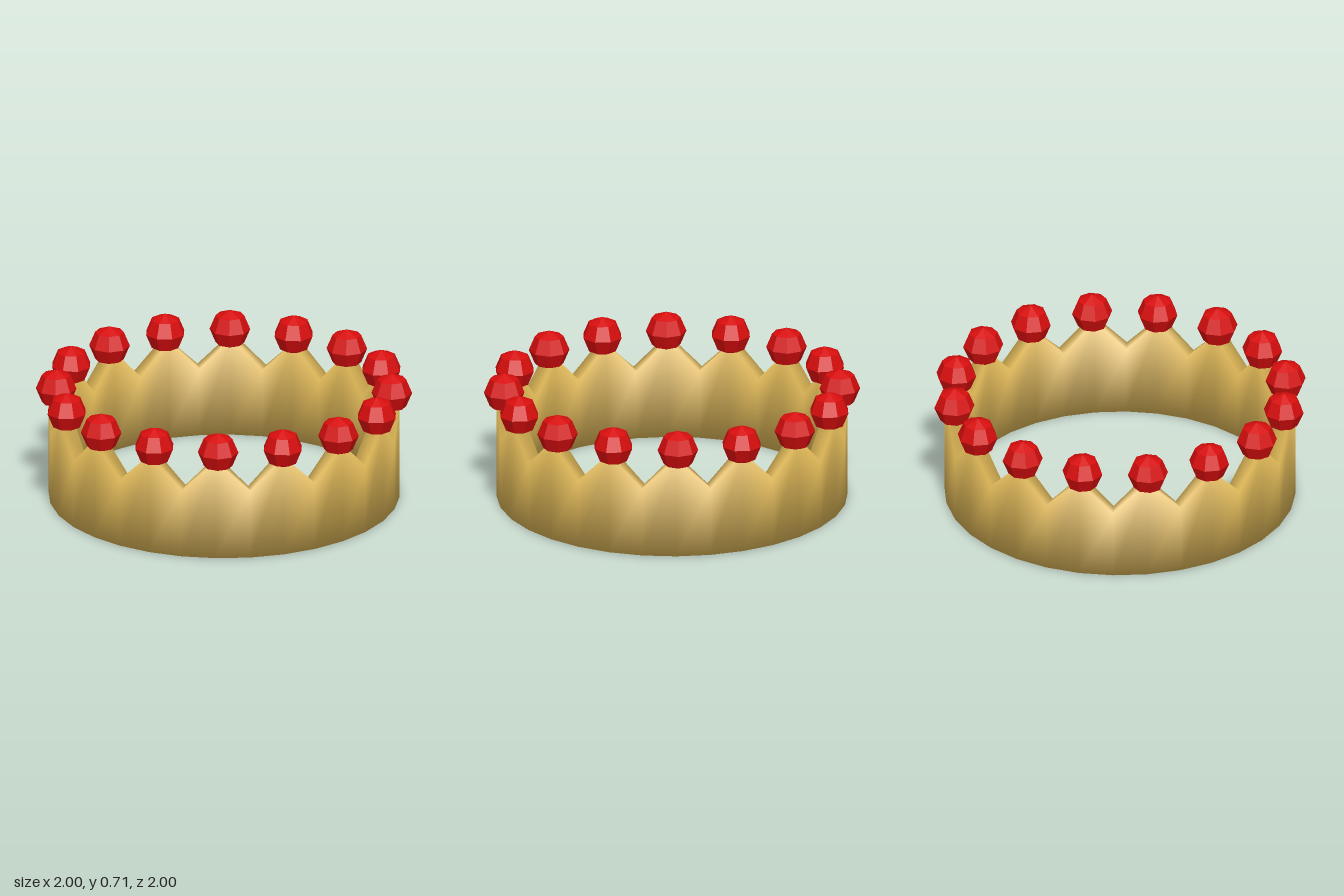
import * as THREE from 'three';

const TEETH = 16;
const OUTER = 0.95, INNER = 0.87;
const VALLEY = 0.385, PEAK = 0.565;

// Toothed ring: a four-cornered section swept round, its top alternating valley and peak
function bandGeometry() {
  const segments = TEETH * 2;
  const positions = [], normals = [], index = [];
  for (let i = 0; i <= segments; i++) {
    const a = (i / segments) * Math.PI * 2;
    const top = i % 2 ? PEAK : VALLEY;
    const section = [[OUTER, 0, 1, -1], [OUTER, top, 1, 1], [INNER, top, -1, 1], [INNER, 0, -1, -1]];
    for (const [r, y, nr, ny] of section) {
      positions.push(r * Math.sin(a), y, r * Math.cos(a));
      // corner normals blended for a softly rounded rim
      normals.push(nr * Math.sin(a) * Math.SQRT1_2, ny * Math.SQRT1_2, nr * Math.cos(a) * Math.SQRT1_2);
    }
    if (i === segments) break;
    for (let j = 0; j < 4; j++) {
      const p = i * 4 + j, q = i * 4 + (j + 1) % 4;
      index.push(p, p + 4, q + 4, p, q + 4, q);
    }
  }
  const geometry = new THREE.BufferGeometry();
  geometry.setAttribute('position', new THREE.Float32BufferAttribute(positions, 3));
  geometry.setAttribute('normal', new THREE.Float32BufferAttribute(normals, 3));
  geometry.setIndex(index);
  return geometry;
}

// Low-poly bead with hard facets
function gemGeometry() {
  const geometry = new THREE.SphereGeometry(0.11, 8, 4).toNonIndexed();
  geometry.computeVertexNormals();
  return geometry;
}

export function createModel() {
  const gold = new THREE.MeshStandardMaterial({ color: 0xd8b254 });
  gold.name = 'gold';
  const red = new THREE.MeshStandardMaterial({ color: 0xd60d0d });
  red.name = 'rubyRed';

  const crown = new THREE.Group();
  crown.name = 'crown';

  const band = new THREE.Mesh(bandGeometry(), gold);
  band.name = 'toothedBand';
  crown.add(band);

  // One gem on every tooth, a corner pointing outwards
  const gems = new THREE.Group();
  gems.name = 'gems';
  const shape = gemGeometry();
  for (let i = 0; i < TEETH; i++) {
    const a = ((i + 0.5) / TEETH) * Math.PI * 2 + 0.01;
    const gem = new THREE.Mesh(shape, red);
    gem.name = 'gem' + (i + 1);
    gem.position.set(0.908 * Math.sin(a), 0.6, 0.908 * Math.cos(a));
    gem.rotation.y = a;
    gems.add(gem);
  }
  crown.add(gems);
  return crown;
}
